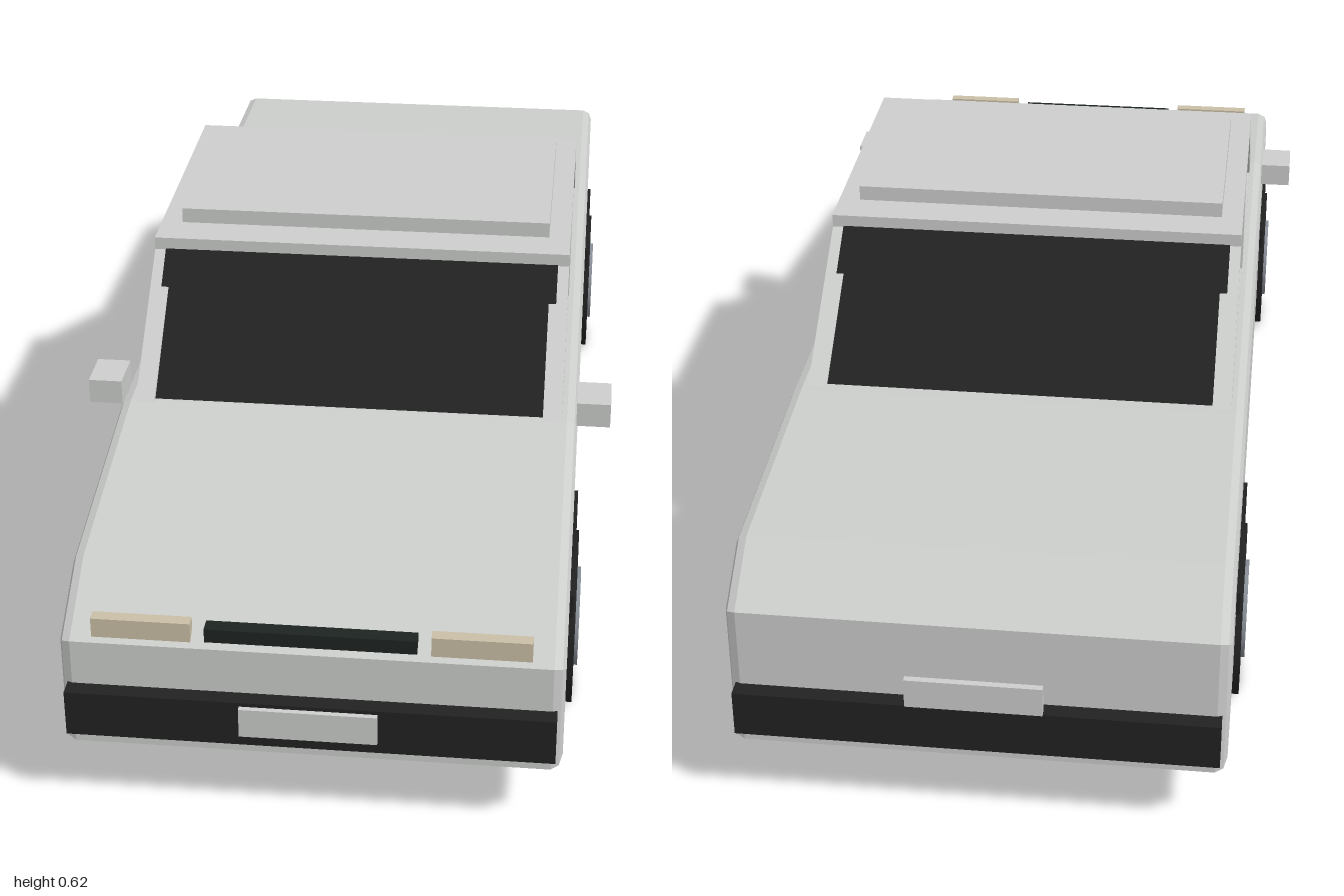
import * as THREE from 'three';

const mat = (name, color) => {
  const m = new THREE.MeshStandardMaterial({ color });
  m.name = name;
  return m;
};

export function createModel() {
  const paint = mat('silver paint', 0xcccecc);
  const black = mat('black trim', 0x222222);
  const grilleMat = mat('grille green black', 0x1e2422);
  const lamp = mat('warm lamp', 0xcabfa6);
  const hubMat = mat('hub grey', 0x8a9098);

  const car = new THREE.Group();
  car.name = 'car';

  const add = (name, geometry, material) => {
    const mesh = new THREE.Mesh(geometry, material);
    mesh.name = name;
    car.add(mesh);
    return mesh;
  };

  // Box given by its limits on each axis
  const box = (name, material, [x0, x1], [y0, y1], [z0, z1]) =>
    add(name, new THREE.BoxGeometry(x1 - x0, y1 - y0, z1 - z0), material)
      .position.set((x0 + x1) / 2, (y0 + y1) / 2, (z0 + z1) / 2);

  // Side profile of [z, y] points, extruded across the car and centred on x
  const points = (list) => list.map(([z, y]) => new THREE.Vector2(z, y));
  const profile = (list, width, bevel = 0, holes = []) => {
    const shape = new THREE.Shape(points(list));
    holes.forEach((h) => shape.holes.push(new THREE.Path(points(h))));
    const depth = width - 2 * bevel;
    return new THREE.ExtrudeGeometry(shape, {
      depth, bevelEnabled: bevel > 0, bevelThickness: bevel,
      bevelSize: bevel, bevelOffset: -bevel, bevelSegments: 2,
    }).translate(0, 0, -depth / 2).rotateY(-Math.PI / 2);
  };

  // Lower body with sloping bonnet and boot
  add('body', profile([
    [0.967, 0.105], [0.967, 0.28], [0.85, 0.352], [0.48, 0.41],
    [-0.48, 0.418], [-0.87, 0.402], [-0.967, 0.335], [-0.967, 0.105],
  ], 0.73, 0.017), paint);

  // Dark glass core, showing through the windows and at both screens
  add('glass', profile([
    [0.48, 0.405], [0.279, 0.583], [-0.219, 0.583], [-0.475, 0.405],
  ], 0.644), black);

  // Side frames with two window openings each
  for (const s of [-1, 1]) {
    add('windowFrame', profile(
      [[0.492, 0.405], [0.275, 0.583], [-0.215, 0.583], [-0.485, 0.405]],
      0.03, 0,
      [
        [[0.412, 0.42], [0.25, 0.575], [0.055, 0.575], [0.055, 0.42]],
        [[0.014, 0.42], [0.014, 0.575], [-0.195, 0.575], [-0.415, 0.42]],
      ],
    ), paint).position.x = s * 0.325;
  }

  // Roof and its raised panel
  box('roof', paint, [-0.34, 0.34], [0.58, 0.602], [-0.218, 0.277]);
  box('roofPanel', paint, [-0.305, 0.305], [0.602, 0.627], [-0.155, 0.212]);

  // Bumpers and plates
  box('frontBumper', black, [-0.355, 0.355], [0.135, 0.208], [0.95, 0.992]);
  box('rearBumper', black, [-0.355, 0.355], [0.135, 0.208], [-0.992, -0.95]);
  box('frontPlate', paint, [-0.1, 0.1], [0.155, 0.202], [0.985, 1]);
  box('rearPlate', paint, [-0.1, 0.1], [0.213, 0.26], [-1, -0.99]);

  // Grille
  box('grille', grilleMat, [-0.153, 0.153], [0.286, 0.308], [0.935, 0.958]);

  // Lamps, mirrors, wheels and arches on both sides
  const tyreGeo = new THREE.CylinderGeometry(0.135, 0.135, 0.1, 14).rotateZ(Math.PI / 2);
  const hubGeo = new THREE.CylinderGeometry(0.077, 0.077, 0.03, 14).rotateZ(Math.PI / 2);
  for (const s of [-1, 1]) {
    const span = (a, b) => (s > 0 ? [a, b] : [-b, -a]);
    box('headlight', lamp, span(0.173, 0.317), [0.285, 0.316], [0.94, 0.959]);
    box('mirror', paint, span(0.363, 0.416), [0.4, 0.44], [0.406, 0.478]);
    for (const z of [0.615, -0.602]) {
      add('tyre', tyreGeo, black).position.set(s * 0.325, 0.135, z);
      add('hub', hubGeo, hubMat).position.set(s * 0.366, 0.135, z);
      box('wheelArch', black, span(0.33, 0.371), [0.234, 0.272], [z - 0.153, z + 0.153]);
    }
  }
  return car;
}
